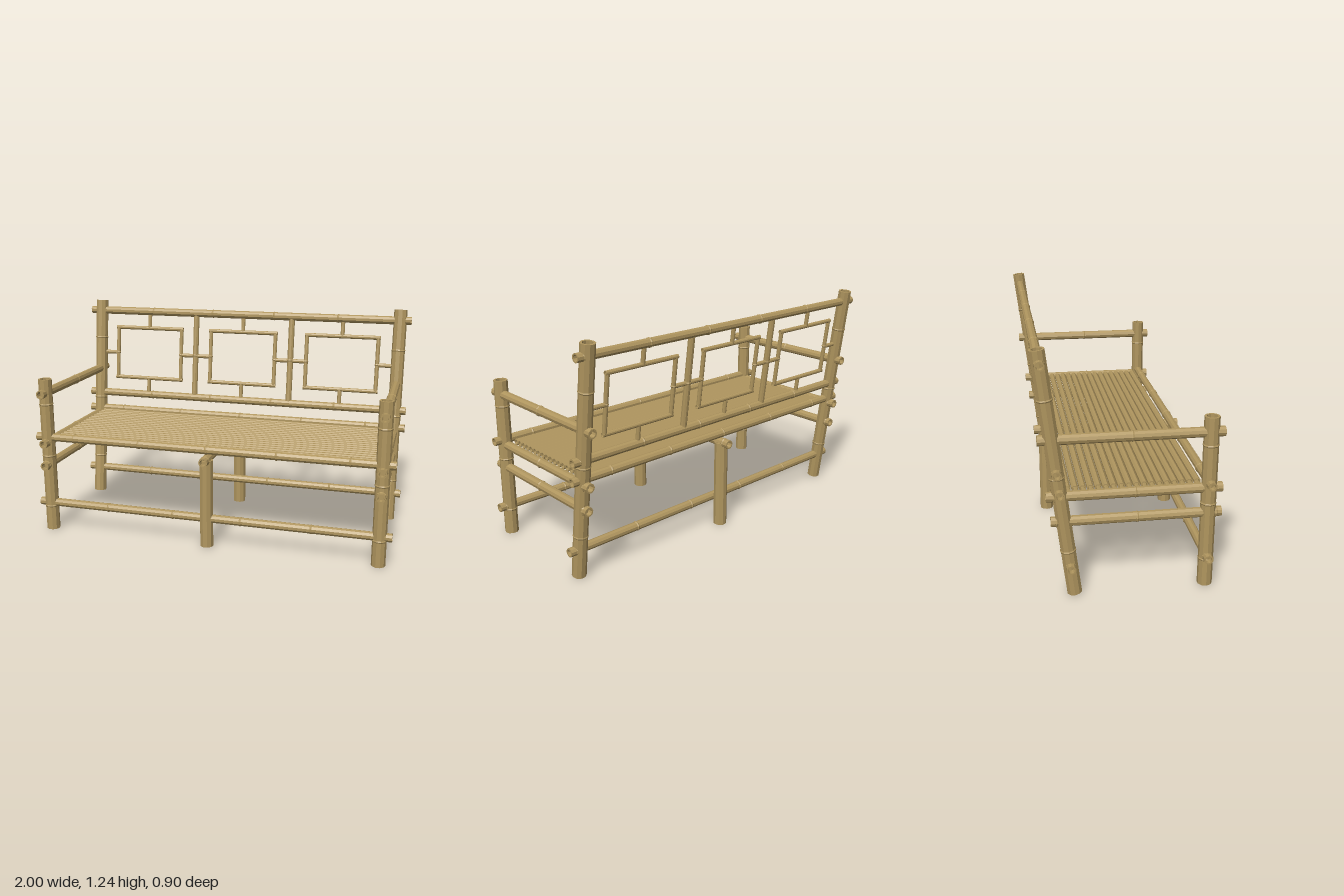
import * as THREE from 'three';

const bamboo = new THREE.MeshStandardMaterial({ color: 0xb0965f });
bamboo.name = 'bamboo';

// Hollow faceted bamboo pole along y, with slightly raised node rings.
function culmGeometry(length, r, { sides = 10, nodes = 0, spacing = 0.385 } = {}) {
  const h = length / 2, ri = r * 0.7, d = Math.min(0.12, h * 0.6);
  const p = [[0, -h + d], [ri, -h + d], [ri, -h], [r, -h]];
  for (let i = 0; i < nodes; i++) {
    const y = (i - (nodes - 1) / 2) * spacing;
    p.push([r, y - 0.006], [r + 0.003, y], [r, y + 0.006]);
  }
  p.push([r, h], [ri, h], [ri, h - d], [0, h - d]);
  const lathe = new THREE.LatheGeometry(p.map(([x, y]) => new THREE.Vector2(x, y)), sides, Math.PI / sides);
  const geometry = lathe.toNonIndexed();
  geometry.computeVertexNormals(); // flat facets
  return geometry;
}

export function createModel() {
  const group = new THREE.Group();
  group.name = 'bambooBench';
  const up = new THREE.Vector3(0, 1, 0);

  // Pole between two points
  function pole(name, a, b, r, options) {
    const from = new THREE.Vector3(...a), to = new THREE.Vector3(...b);
    const mesh = new THREE.Mesh(culmGeometry(from.distanceTo(to), r, options), bamboo);
    mesh.name = name;
    mesh.position.copy(from).add(to).multiplyScalar(0.5);
    mesh.quaternion.setFromUnitVectors(up, to.sub(from).normalize());
    group.add(mesh);
  }

  const legX = 0.935, frontZ = 0.39;
  const backZ = (y) => -0.26 - 0.125 * y; // leaning plane of the backrest
  const legNodes = { nodes: 3, spacing: 0.3 };

  // Corner legs and side rails
  for (const s of [-1, 1]) {
    const x = s * legX;
    pole('frontLeg', [x, 0, frontZ], [x, 0.885, frontZ], 0.0375, legNodes);
    pole('backLeg', [x, 0.005, backZ(0.005)], [x, 1.235, backZ(1.235)], 0.0375, { nodes: 3 });
    pole('armrest', [x, 0.807, 0.455], [x, 0.807, -0.425], 0.025, { nodes: 3 });
    pole('sideSeatRail', [x, 0.522, 0.455], [x, 0.522, -0.39], 0.025, { nodes: 3 });
    pole('sideLowerRail', [x, 0.392, 0.455], [x, 0.392, -0.37], 0.025, { nodes: 3 });
  }

  // Middle legs and the bearer between them
  pole('middleFrontLeg', [0, 0, frontZ], [0, 0.495, frontZ], 0.0375);
  pole('middleBackLeg', [0, 0, -0.327], [0, 0.495, -0.327], 0.0375);
  pole('seatBearer', [0, 0.496, 0.455], [0, 0.496, -0.39], 0.025, { nodes: 3 });

  // Long rails
  const rails = [
    ['frontSeatRail', 0.55, frontZ, 5], ['backSeatRail', 0.55, backZ(0.55), 5],
    ['frontLowerRail', 0.16, frontZ, 6], ['backLowerRail', 0.16, backZ(0.16), 6],
    ['backrestLowerRail', 0.652, backZ(0.652), 6], ['backrestTopRail', 1.173, backZ(1.173), 6],
  ];
  for (const [name, y, z, nodes] of rails) pole(name, [-1, y, z], [1, y, z], 0.0235, { nodes });

  // Seat slats
  const slats = 18;
  for (let i = 0; i < slats; i++) {
    const z = 0.343 - i * 0.037;
    pole('seatSlat', [-0.895, 0.536, z], [0.895, 0.536, z], 0.0175, { sides: 8 });
  }

  // Backrest lattice, laid out in the leaning plane
  const backPole = (name, x0, y0, x1, y1, r, options) =>
    pole(name, [x0, y0, backZ(y0)], [x1, y1, backZ(y1)], r, options);
  for (const x of [-0.3, 0.3]) backPole('backrestDivider', x, 0.655, x, 1.17, 0.018, { nodes: 1 });

  const bottom = 0.755, top = 1.069, middle = 0.91, r = 0.012;
  const panels = [
    { x: -0.607, half: 0.211, left: -0.92, right: -0.3 },
    { x: 0, half: 0.203, left: -0.3, right: 0.3 },
    { x: 0.607, half: 0.211, left: 0.3, right: 0.92 },
  ];
  for (const { x, half, left, right } of panels) {
    for (const y of [bottom, top]) backPole('panelFrameRail', x - half - r, y, x + half + r, y, r);
    for (const s of [-1, 1]) backPole('panelFrameStile', x + s * half, bottom, x + s * half, top, r, { nodes: 1 });
    backPole('panelSpacer', x, 0.66, x, bottom, r);
    backPole('panelSpacer', x, top, x, 1.165, r);
    backPole('panelSpacer', left, middle, x - half, middle, r);
    backPole('panelSpacer', x + half, middle, right, middle, r);
  }

  return group;
}
